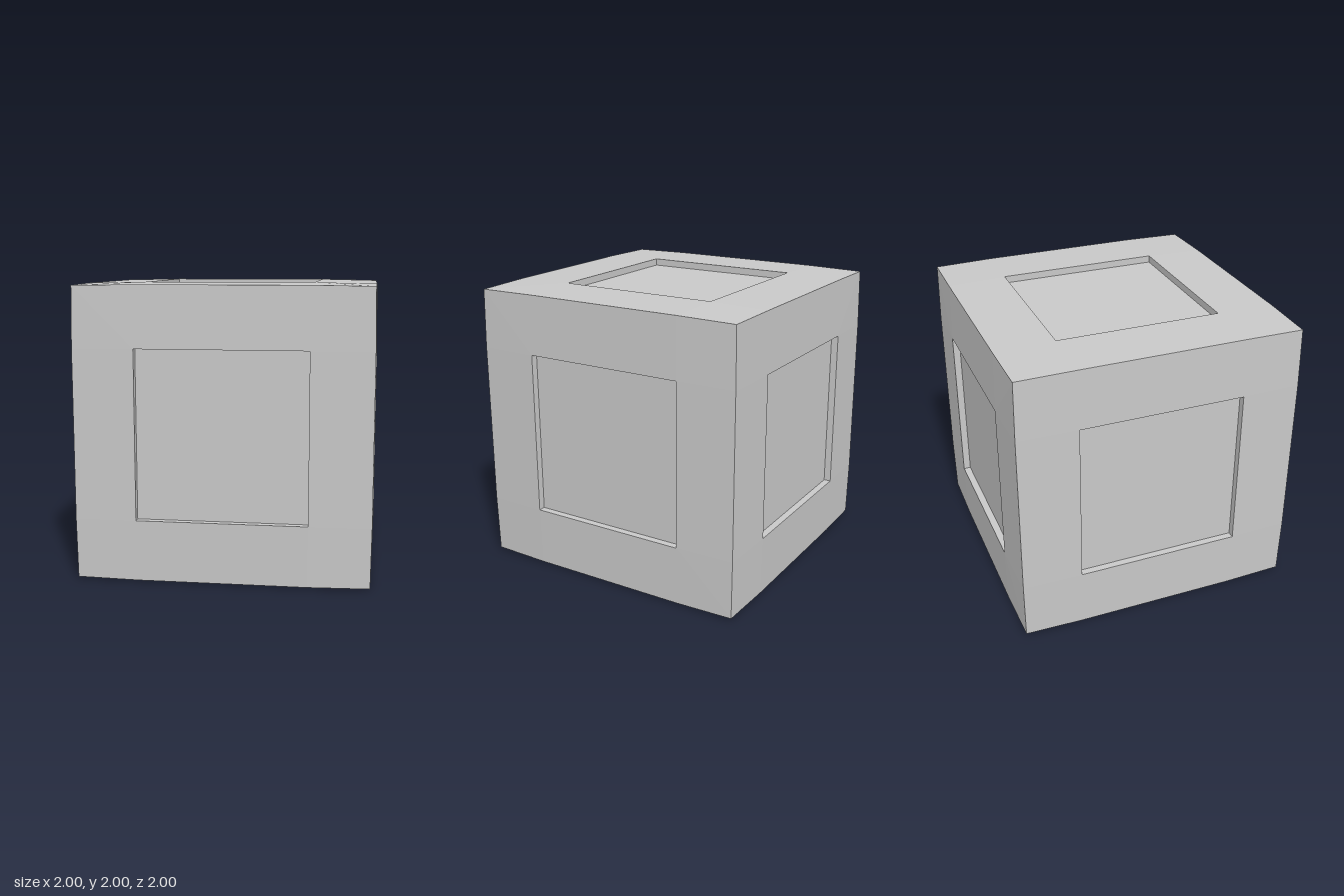
import * as THREE from 'three';

const PANEL = 0.575;   // half width of the recessed panel
const EDGE = 0.991;    // cube edge midpoints
const CORNER = 0.985;  // cube corners
const FLOOR = 0.95;    // depth of the panel floor

// Faceted geometry from four-cornered faces, each split along its first diagonal
function quads(list) {
  const pos = list.flatMap(([a, b, c, d]) => [a, b, c, a, c, d].flat());
  const geo = new THREE.BufferGeometry();
  geo.setAttribute('position', new THREE.Float32BufferAttribute(pos, 3));
  geo.computeVertexNormals();
  return geo;
}

// One quarter of a side's border: lower strip, lower right corner and recess wall
function borderQuarter(angle) {
  const p = PANEL;
  const e1 = [-p, -EDGE, EDGE], e2 = [p, -EDGE, EDGE], e3 = [EDGE, -p, EDGE];
  const i1 = [-p, -p, 1], i2 = [p, -p, 1];
  const f1 = [-p, -p, FLOOR], f2 = [p, -p, FLOOR];
  const corner = [CORNER, -CORNER, CORNER];
  const axis = new THREE.Vector3(0, 0, 1);
  const turn = (v) => new THREE.Vector3(...v).applyAxisAngle(axis, angle).toArray();
  return [
    [e1, e2, i2, i1],
    [corner, e3, i2, e2],
    [i1, i2, f2, f1],
  ].map((q) => q.map(turn));
}

export function createModel() {
  const model = new THREE.Group();
  model.name = 'panelledCube';
  const grey = new THREE.MeshStandardMaterial({ color: 0xc8c8c8, flatShading: true });
  grey.name = 'light grey';

  const borderGeo = quads([0, 1, 2, 3].flatMap((k) => borderQuarter(k * Math.PI / 2)));
  const panelGeo = new THREE.PlaneGeometry(2 * PANEL, 2 * PANEL).translate(0, 0, FLOOR);

  // The same gently bulged side, turned to all six directions
  const h = Math.PI / 2;
  const sides = {
    front: [0, 0], left: [0, h], back: [0, 2 * h], right: [0, -h], top: [-h, 0], bottom: [h, 0],
  };
  for (const [name, [rx, ry]] of Object.entries(sides)) {
    const side = new THREE.Group();
    side.name = name + 'Side';
    const border = new THREE.Mesh(borderGeo, grey);
    border.name = name + 'Border';
    const panel = new THREE.Mesh(panelGeo, grey);
    panel.name = name + 'Panel';
    side.add(border, panel);
    side.rotation.set(rx, ry, 0);
    side.position.y = 1;
    model.add(side);
  }
  return model;
}
